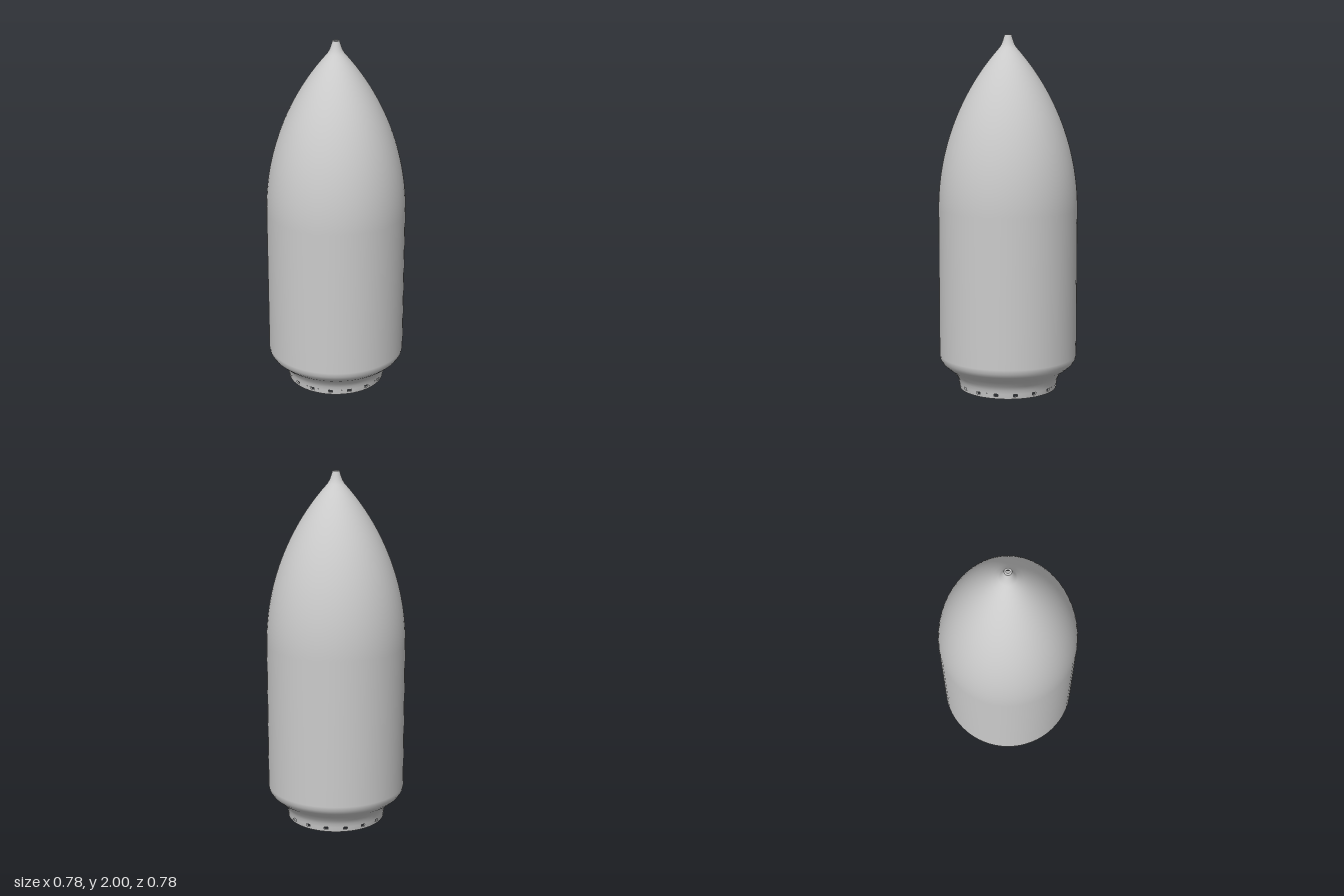
import * as THREE from 'three';

const SEGMENTS = 64;
const WALL = 0.01;
const SLOTS = 16;
const SLOT_HALF = 0.04; // half angle of a slot
const SLOT_BOTTOM = 0.014, SLOT_TOP = 0.028;

export function createModel() {
  const model = new THREE.Group();
  const material = new THREE.MeshStandardMaterial({ color: 0xcccccc, side: THREE.DoubleSide });

  const revolve = (name, points, start = 0, sweep = Math.PI * 2, segments = SEGMENTS) => {
    const profile = points.map(([r, y]) => new THREE.Vector2(r, y));
    const mesh = new THREE.Mesh(new THREE.LatheGeometry(profile, segments, start, sweep), material);
    mesh.name = name;
    model.add(mesh);
  };
  // Inner surface follows the outer one, running downwards so it faces inwards
  const inset = (points) => points.map(([r, y]) => [r - WALL, y]).reverse();

  // Curved shoulder between the collar and the straight barrel
  const shoulder = [
    [0.281, SLOT_TOP], [0.284, 0.05], [0.296, 0.075], [0.32, 0.103],
    [0.35, 0.125], [0.374, 0.147], [0.388, 0.17], [0.392, 0.195],
  ];
  // Pointed nose: a circular arc tangent to the barrel
  const nose = [];
  const R = 1.35, base = 1.03, end = 1.93;
  for (let i = 0; i <= 24; i++) {
    const h = (end - base) * i / 24;
    nose.push([0.392 - R + Math.sqrt(R * R - h * h), base + h]);
  }
  // Small open neck at the tip
  const neck = [[0.036, 1.95], [0.029, 1.97], [0.024, 1.985], [0.02, 2]];

  const body = [...shoulder, ...nose, ...neck];
  revolve('outerShell', body);
  revolve('innerShell', inset(body));
  revolve('tipRim', [[0.02, 2], [0.02 - WALL, 2]]);

  // Collar edge below the slots
  const lip = [[0.277, 0], [0.279, SLOT_BOTTOM]];
  revolve('collarLip', lip);
  revolve('collarLipInside', inset(lip));
  revolve('bottomRim', [[0.277 - WALL, 0], [0.277, 0]]);

  // Slotted band: wall pieces separated by evenly spaced openings
  const band = [[0.279, SLOT_BOTTOM], [0.281, SLOT_TOP]];
  const pitch = Math.PI * 2 / SLOTS;
  for (let i = 0; i < SLOTS; i++) {
    const start = (i + 0.5) * pitch + SLOT_HALF;
    const sweep = pitch - 2 * SLOT_HALF;
    revolve('collarBand', band, start, sweep, 4);
    revolve('collarBandInside', inset(band), start, sweep, 4);
  }
  return model;
}
